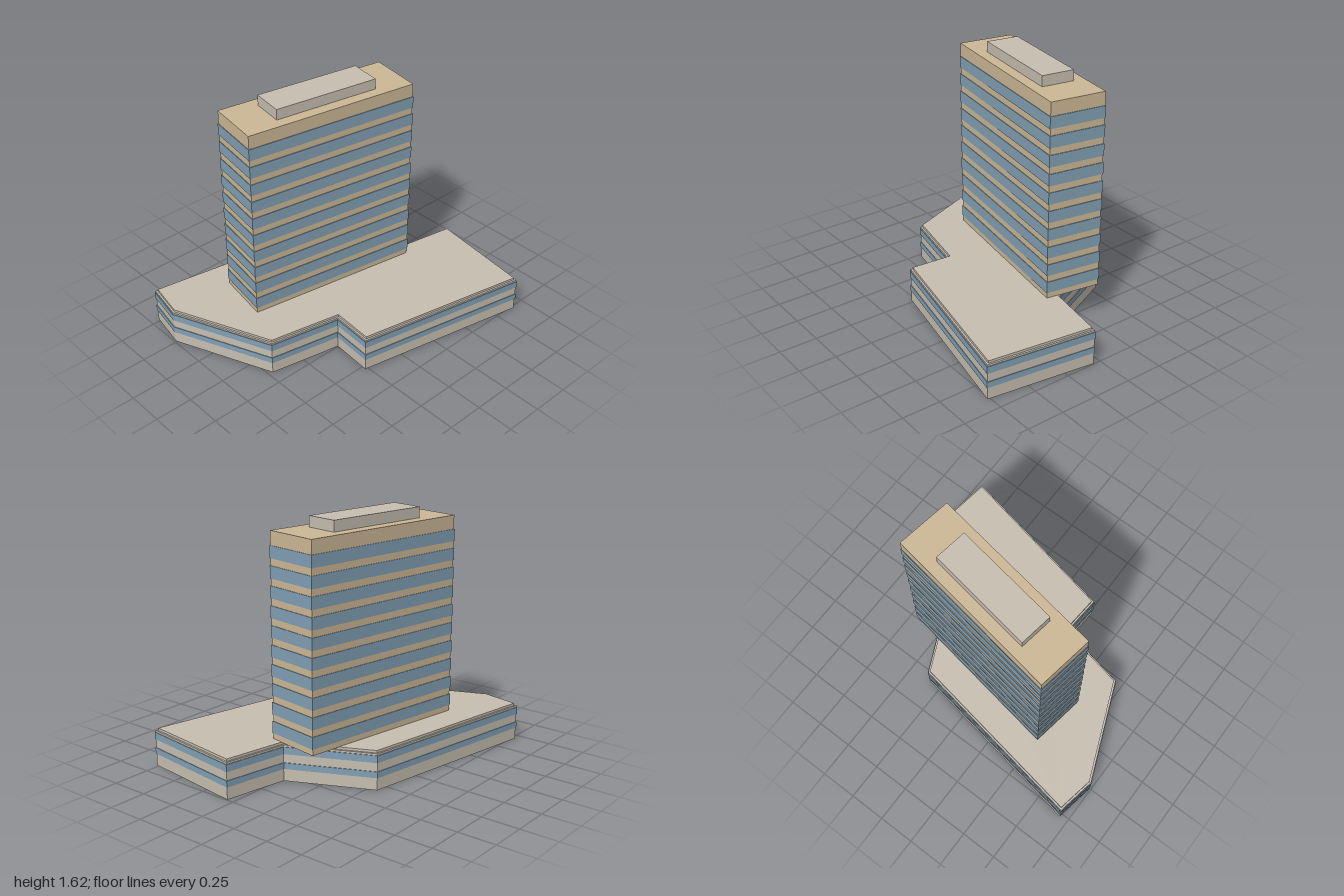
import * as THREE from 'three';

// Plan outlines as [x, z], clockwise seen from above
const PODIUM = [[0.045, -1], [0.772, -0.9], [0.532, 0.273], [0.252, 0.252], [0.157, 0.722],
  [-0.508, 0.995], [-0.777, 0.945], [-0.565, -0.332], [-0.03, -0.578]];
const TOWER = [[-0.305, -0.627], [0.068, -0.567], [-0.125, 0.606], [-0.498, 0.545]];
const PENTHOUSE = [[-0.265, -0.377], [-0.049, -0.344], [-0.164, 0.356], [-0.381, 0.322]];

// Move every edge of an outline inwards by d, with mitred corners
function inset(outline, d) {
  const pts = outline.map(([x, z]) => new THREE.Vector2(x, z));
  const n = pts.length;
  const normals = pts.map((p, i) => {
    const e = pts[(i + 1) % n].clone().sub(p).normalize();
    return new THREE.Vector2(-e.y, e.x);
  });
  return pts.map((p, i) => {
    const a = normals[(i + n - 1) % n], b = normals[i];
    const k = d / (1 + a.dot(b));
    return [p.x + (a.x + b.x) * k, p.y + (a.y + b.y) * k];
  });
}

// Upright prism over an outline, from y0 to y1
function prism(name, outline, y0, y1, material) {
  const shape = new THREE.Shape(outline.map(([x, z]) => new THREE.Vector2(x, -z)));
  const geometry = new THREE.ExtrudeGeometry(shape, { depth: y1 - y0, bevelEnabled: false });
  geometry.rotateX(-Math.PI / 2);
  geometry.translate(0, y0, 0);
  const mesh = new THREE.Mesh(geometry, material);
  mesh.name = name;
  return mesh;
}

export function createModel() {
  const stone = new THREE.MeshStandardMaterial({ name: 'stone', color: 0xc6beb0 });
  const tan = new THREE.MeshStandardMaterial({ name: 'tan', color: 0xccb896 });
  const glass = new THREE.MeshStandardMaterial({ name: 'glass', color: 0x82a0b4 });

  const model = new THREE.Group();
  model.name = 'officeBuilding';

  // Low podium with two window bands and a set-back roof slab
  const podium = new THREE.Group();
  podium.name = 'podium';
  podium.add(prism('podiumWalls', inset(PODIUM, 0.004), 0, 0.237, stone));
  podium.add(prism('podiumRoof', inset(PODIUM, 0.016), 0.237, 0.253, stone));
  [[0.08, 0.121], [0.178, 0.225]].forEach(([y0, y1], i) =>
    podium.add(prism(`podiumWindowBand${i + 1}`, PODIUM, y0, y1, glass)));

  // Tower with a window band on each of its ten floors
  const tower = new THREE.Group();
  tower.name = 'tower';
  tower.add(prism('towerWalls', inset(TOWER, 0.004), 0.25, 1.555, tan));
  for (let i = 0; i < 10; i++) {
    const y = 0.291 + i * 0.122;
    tower.add(prism(`towerWindowBand${i + 1}`, TOWER, y, y + 0.077, glass));
  }

  // Plant room on the tower roof
  tower.add(prism('roofPlantRoom', PENTHOUSE, 1.555, 1.625, stone));

  model.add(podium, tower);
  return model;
}
